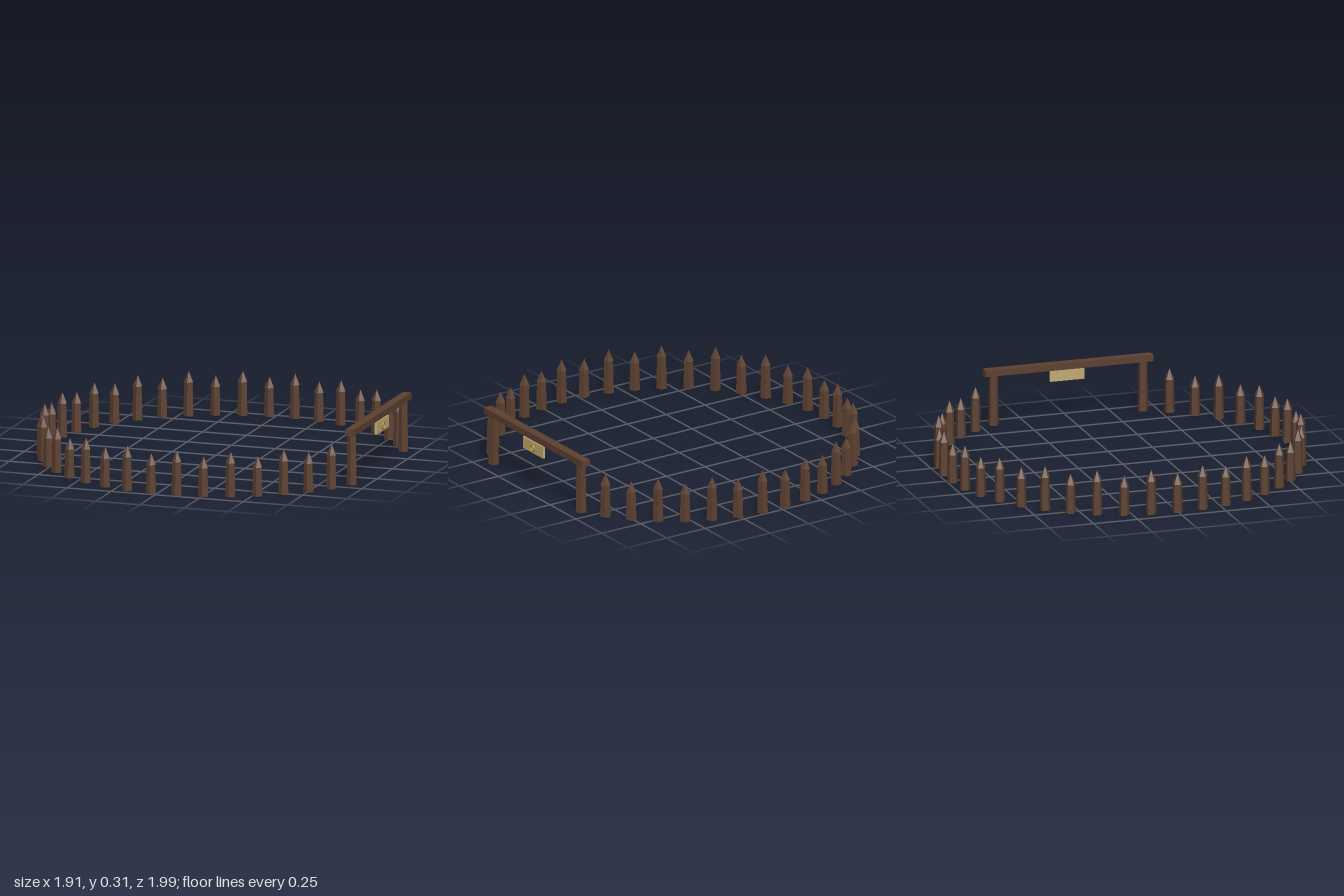
import * as THREE from 'three';

const mat = (color) => new THREE.MeshStandardMaterial({ color, flatShading: true });

export function createModel() {
  const root = new THREE.Group();
  const wood = mat(0x5c4030), board = mat(0xc2ab72), gold = mat(0xb8923a);
  const cx = 0.04, cz = -0.003, ringRadius = 0.973;
  const slots = 42, gateSlot = 3;

  const add = (parent, name, geometry, material, x, y, z) => {
    const mesh = new THREE.Mesh(geometry, material);
    mesh.name = name;
    mesh.position.set(x, y, z);
    parent.add(mesh);
    return mesh;
  };
  const at = (k) => {
    const a = (k / slots) * Math.PI * 2;
    return [cx + ringRadius * Math.cos(a), cz + ringRadius * Math.sin(a)];
  };

  // Ring of pointed stakes, alternating tall and short, open at the gate
  const tip = new THREE.ConeGeometry(0.028, 0.06, 5);
  const shafts = [0.185, 0.158].map((h) => new THREE.CylinderGeometry(0.025, 0.03, h, 5));
  const palisade = new THREE.Group();
  palisade.name = 'palisade';
  root.add(palisade);
  for (let k = gateSlot + 1; k < slots - gateSlot; k++) {
    const [x, z] = at(k);
    const shaft = shafts[k % 2], h = shaft.parameters.height;
    const stake = new THREE.Group();
    stake.name = 'stake';
    stake.position.set(x, 0, z);
    add(stake, 'stakeShaft', shaft, wood, 0, h / 2, 0);
    add(stake, 'stakeTip', tip, wood, 0, h + 0.03, 0);
    palisade.add(stake);
  }

  // Gate: two posts and a lintel
  const gate = new THREE.Group();
  gate.name = 'gate';
  root.add(gate);
  const postGeometry = new THREE.CylinderGeometry(0.025, 0.03, 0.285, 5);
  for (const k of [gateSlot, -gateSlot]) {
    const [x, z] = at(k);
    add(gate, 'gatePost', postGeometry, wood, x, 0.1425, z);
  }
  add(gate, 'gateBeam', new THREE.BoxGeometry(0.049, 0.036, 0.95), wood, 0.92, 0.294, cz);

  // Hanging sign with a ring emblem on its outer face
  add(gate, 'signBoard', new THREE.BoxGeometry(0.014, 0.066, 0.195), board, 0.938, 0.237, cz);
  const ring = add(gate, 'signRing', new THREE.TorusGeometry(0.018, 0.005, 6, 12), gold, 0.949, 0.235, cz);
  ring.rotation.y = Math.PI / 2;

  return root;
}
